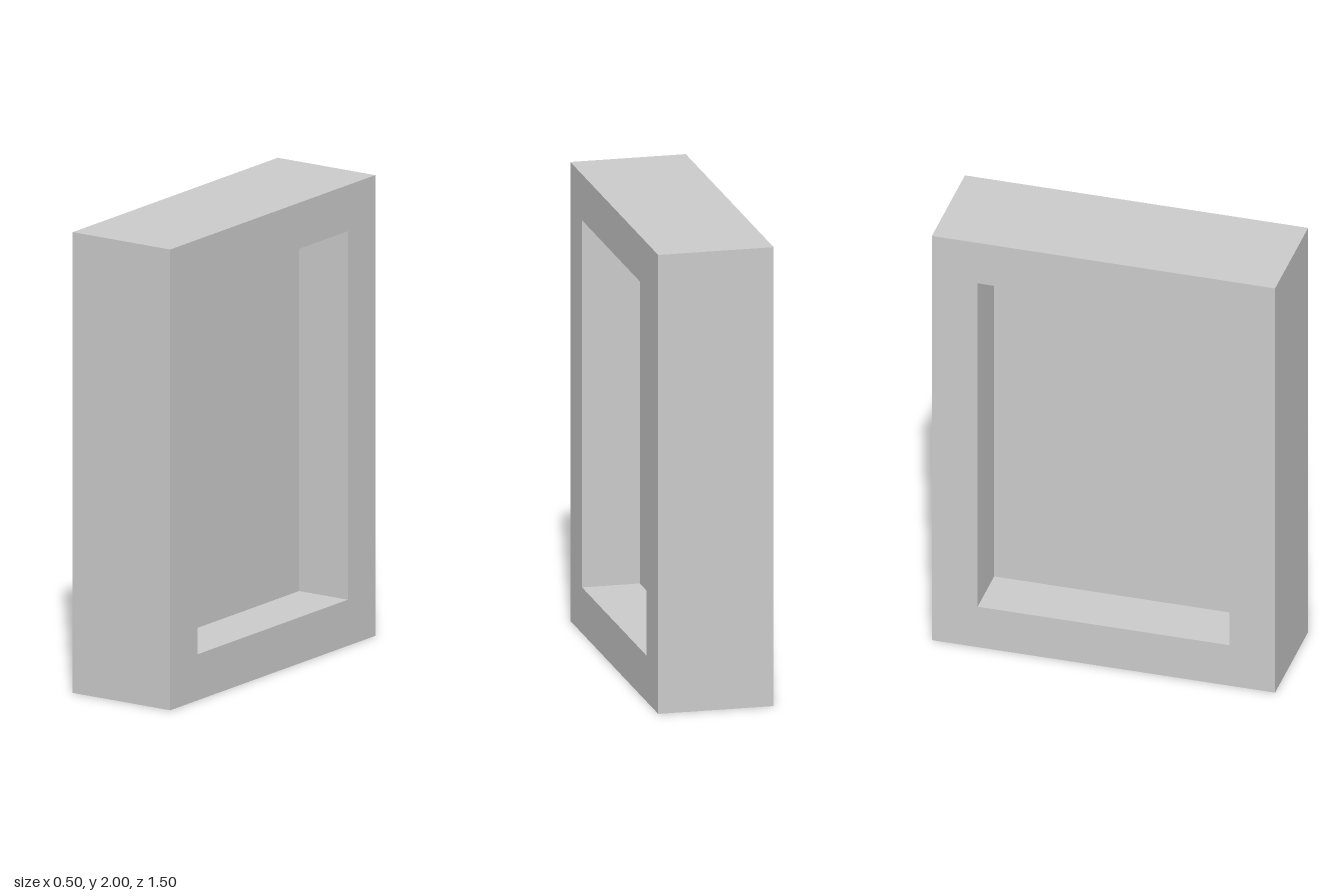
import * as THREE from 'three';

const WIDTH = 0.5, HEIGHT = 2, DEPTH = 1.5, BORDER = 0.2;

// Traces a rectangle centred on the depth axis, inset from the outer edge
function rectangle(path, inset) {
  const half = DEPTH / 2 - inset;
  path.moveTo(-half, inset);
  path.lineTo(half, inset);
  path.lineTo(half, HEIGHT - inset);
  path.lineTo(-half, HEIGHT - inset);
  path.closePath();
  return path;
}

export function createModel() {
  const group = new THREE.Group();
  group.name = 'framedPanel';

  // Thick rectangular frame, open towards both sides
  const outline = rectangle(new THREE.Shape(), 0);
  outline.holes.push(rectangle(new THREE.Path(), BORDER));
  const frameGeometry = new THREE.ExtrudeGeometry(outline, { depth: WIDTH, bevelEnabled: false });
  frameGeometry.translate(0, 0, -WIDTH / 2).rotateY(Math.PI / 2);
  const frame = new THREE.Mesh(
    frameGeometry,
    new THREE.MeshStandardMaterial({ color: 0xcccccc, flatShading: true })
  );
  frame.name = 'frame';
  group.add(frame);

  // Thin sheet closing the opening halfway through the frame
  const panel = new THREE.Mesh(
    new THREE.PlaneGeometry(DEPTH - 2 * BORDER, HEIGHT - 2 * BORDER),
    new THREE.MeshStandardMaterial({ color: 0xcccccc, side: THREE.DoubleSide })
  );
  panel.name = 'panel';
  panel.rotation.y = Math.PI / 2;
  panel.position.y = HEIGHT / 2;
  group.add(panel);

  return group;
}
